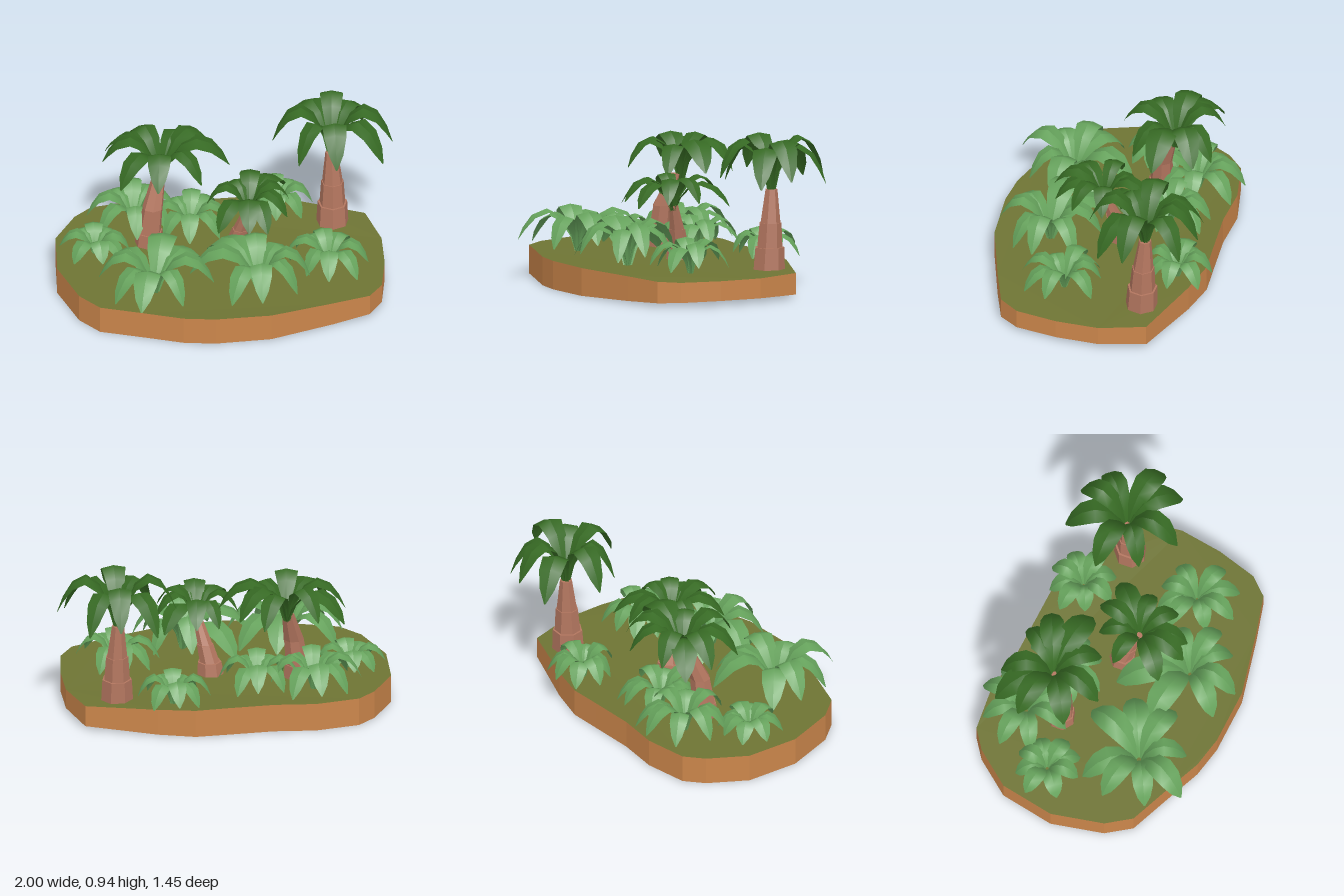
import * as THREE from 'three';
import { mergeGeometries } from 'three/addons/utils/BufferGeometryUtils.js';

const material = (name, color, extra = {}) => Object.assign(new THREE.MeshStandardMaterial({ color, ...extra }), { name });

// Arching leaf stations: distance along, height, half width (all as fractions)
const ARCH = [
  [0.03, 0, 0.25], [0.12, 0.42, 0.42], [0.3, 0.83, 0.8], [0.52, 1, 1],
  [0.74, 0.88, 0.92], [0.9, 0.6, 0.6], [1, 0.32, 0.06],
];

// One folded leaf growing from the origin to the tip offset (dx, dz)
function frondGeometry(dx, dz, rise, droop) {
  const length = Math.hypot(dx, dz);
  const sx = -dz / length, sz = dx / length;
  const pos = [], index = [];
  ARCH.forEach(([t, h, w], i) => {
    const half = w * Math.max(0.055, length * 0.21);
    const y = rise * (h - droop * t * t);
    const fold = half * 0.22;
    for (const k of [-1, 0, 0, 1]) {
      pos.push(dx * t + sx * half * k, y - Math.abs(k) * fold, dz * t + sz * half * k);
    }
    if (i === 0) return;
    const q = (i - 1) * 4;
    for (const a of [q, q + 2]) index.push(a, a + 1, a + 5, a, a + 5, a + 4);
  });
  const g = new THREE.BufferGeometry();
  g.setAttribute('position', new THREE.Float32BufferAttribute(pos, 3));
  g.setIndex(index);
  g.computeVertexNormals();
  return g;
}

// A ring of leaves; tips are world x, z pairs
function leafCluster(name, mat, [x, y, z], rise, tips) {
  const fronds = tips.map(([tx, tz], i) => frondGeometry(tx - x, tz - z, rise * (i % 2 ? 0.9 : 1), i % 2 ? 0.12 : 0));
  const mesh = new THREE.Mesh(mergeGeometries(fronds), mat);
  mesh.name = name;
  mesh.position.set(x, y, z);
  return mesh;
}

// Stacked tapering segments; each ring is x, y, z, lower radius, upper radius
function trunk(mat, rings) {
  const group = new THREE.Group();
  group.name = 'trunk';
  for (let i = 0; i < rings.length - 1; i++) {
    const [x, y, z, r0, r1] = rings[i], [nx, ny, nz] = rings[i + 1];
    const h = ny - y;
    const g = new THREE.CylinderGeometry(r1, r0, h, 7);
    g.translate(0, h / 2, 0);
    const p = g.attributes.position;
    for (let v = 0; v < p.count; v++) {
      const t = p.getY(v) / h;
      p.setX(v, p.getX(v) + (nx - x) * t);
      p.setZ(v, p.getZ(v) + (nz - z) * t);
    }
    const mesh = new THREE.Mesh(g, mat);
    mesh.name = 'trunkSegment';
    mesh.position.set(x, y, z);
    group.add(mesh);
  }
  return group;
}

// Slab of ground that thins toward its +x end
function island(grass, soil) {
  const outline = [
    [-1, -0.22], [-0.88, -0.45], [-0.78, -0.55], [-0.52, -0.61], [-0.27, -0.6], [0, -0.625], [0.2, -0.645],
    [0.42, -0.6], [0.84, -0.47], [0.93, -0.2], [0.94, 0.06], [0.915, 0.31], [0.84, 0.43], [0.62, 0.52],
    [0.25, 0.655], [-0.08, 0.69], [-0.27, 0.675], [-0.5, 0.61], [-0.76, 0.54], [-0.88, 0.41], [-1, 0.11],
  ];
  const shape = new THREE.Shape(outline.map(([x, z]) => new THREE.Vector2(x, -z)));
  const g = new THREE.ExtrudeGeometry(shape, { depth: 0.17, bevelEnabled: false });
  g.rotateX(-Math.PI / 2);
  const p = g.attributes.position;
  for (let i = 0; i < p.count; i++) {
    const thin = 0.026 * (Math.max(0, p.getX(i)) / 0.94) ** 2;
    p.setY(i, p.getY(i) > 0.08 ? 0.17 - thin : thin);
  }
  g.computeVertexNormals();
  const mesh = new THREE.Mesh(g, [grass, soil]);
  mesh.name = 'island';
  return mesh;
}

export function createModel() {
  const grass = material('grass', 0x6e7434);
  const soil = material('soil', 0xcb864b);
  const bark = material('bark', 0xb3765f, { flatShading: true });
  const palmLeaf = material('palm leaf', 0x376b24, { side: THREE.DoubleSide });
  const bushLeaf = material('bush leaf', 0x66a35c, { side: THREE.DoubleSide });

  const model = new THREE.Group();
  model.name = 'palmIsland';
  model.add(island(grass, soil));

  const palm = (name, rings, crown, rise, tips) => {
    const group = new THREE.Group();
    group.name = name;
    group.add(trunk(bark, rings), leafCluster('crown', palmLeaf, crown, rise, tips));
    model.add(group);
  };
  const bush = (centre, rise, tips) => model.add(leafCluster('bush', bushLeaf, centre, rise, tips));

  // Palms
  palm('tallPalm',
    [[0.645, 0.155, -0.38, 0.097, 0.09], [0.645, 0.285, -0.385, 0.078, 0.068],
      [0.645, 0.43, -0.39, 0.062, 0.037], [0.64, 0.63, -0.4]],
    [0.64, 0.61, -0.4], 0.335,
    [[1, -0.37], [0.94, -0.2], [0.66, -0.06], [0.44, -0.19], [0.29, -0.4], [0.43, -0.7], [0.65, -0.73], [0.83, -0.67]]);
  palm('leaningPalm',
    [[-0.45, 0.16, -0.165, 0.085, 0.078], [-0.445, 0.25, -0.165, 0.07, 0.06],
      [-0.425, 0.41, -0.175, 0.062, 0.037], [-0.385, 0.6, -0.24]],
    [-0.375, 0.57, -0.27], 0.26,
    [[0.03, -0.25], [-0.14, -0.08], [-0.4, 0.06], [-0.62, -0.04], [-0.72, -0.3], [-0.7, -0.47], [-0.54, -0.53],
      [-0.22, -0.54], [-0.08, -0.47]]);
  palm('shortPalm',
    [[0.06, 0.16, -0.06, 0.08, 0.072], [0.065, 0.235, -0.055, 0.06, 0.05],
      [0.09, 0.34, -0.035, 0.045, 0.028], [0.13, 0.49, 0.005]],
    [0.135, 0.46, 0.01], 0.21,
    [[0.36, 0.14], [0.24, 0.28], [0.13, 0.32], [-0.05, 0.26], [-0.11, -0.02], [0.02, -0.2], [0.16, -0.28],
      [0.35, -0.26], [0.38, -0.05]]);

  // Bushes
  bush([-0.43, 0.16, 0.37], 0.265,
    [[-0.34, -0.02], [-0.13, 0.14], [-0.08, 0.4], [-0.27, 0.6], [-0.52, 0.72], [-0.67, 0.56], [-0.76, 0.32], [-0.71, 0.15]]);
  bush([0.19, 0.16, 0.33], 0.27,
    [[0.49, 0.35], [0.41, 0.49], [0.2, 0.64], [0.02, 0.6], [-0.22, 0.3], [-0.1, 0], [0.16, 0.02], [0.38, 0.12]]);
  bush([0.61, 0.15, 0.11], 0.2,
    [[0.84, 0.16], [0.77, 0.31], [0.6, 0.37], [0.47, 0.26], [0.35, 0.06], [0.42, -0.05], [0.55, -0.1], [0.72, -0.09]]);
  bush([-0.77, 0.16, -0.06], 0.155,
    [[-0.57, -0.04], [-0.61, 0.07], [-0.73, 0.13], [-0.9, 0.09], [-0.98, -0.08], [-0.9, -0.2], [-0.78, -0.25], [-0.64, -0.2]]);
  bush([-0.53, 0.16, -0.36], 0.23,
    [[-0.55, -0.65], [-0.71, -0.55], [-0.81, -0.37], [-0.74, -0.2], [-0.52, -0.09], [-0.32, -0.2], [-0.27, -0.4], [-0.38, -0.61]]);
  bush([0.32, 0.155, -0.5], 0.19,
    [[0.3, -0.71], [0.18, -0.65], [0.1, -0.53], [0.18, -0.4], [0.31, -0.3], [0.46, -0.36], [0.53, -0.5], [0.45, -0.67]]);
  bush([-0.2, 0.16, -0.3], 0.2,
    [[0.03, -0.28], [-0.03, -0.15], [-0.21, -0.05], [-0.36, -0.15], [-0.45, -0.31], [-0.34, -0.48], [-0.18, -0.55], [-0.06, -0.52]]);

  return model;
}
